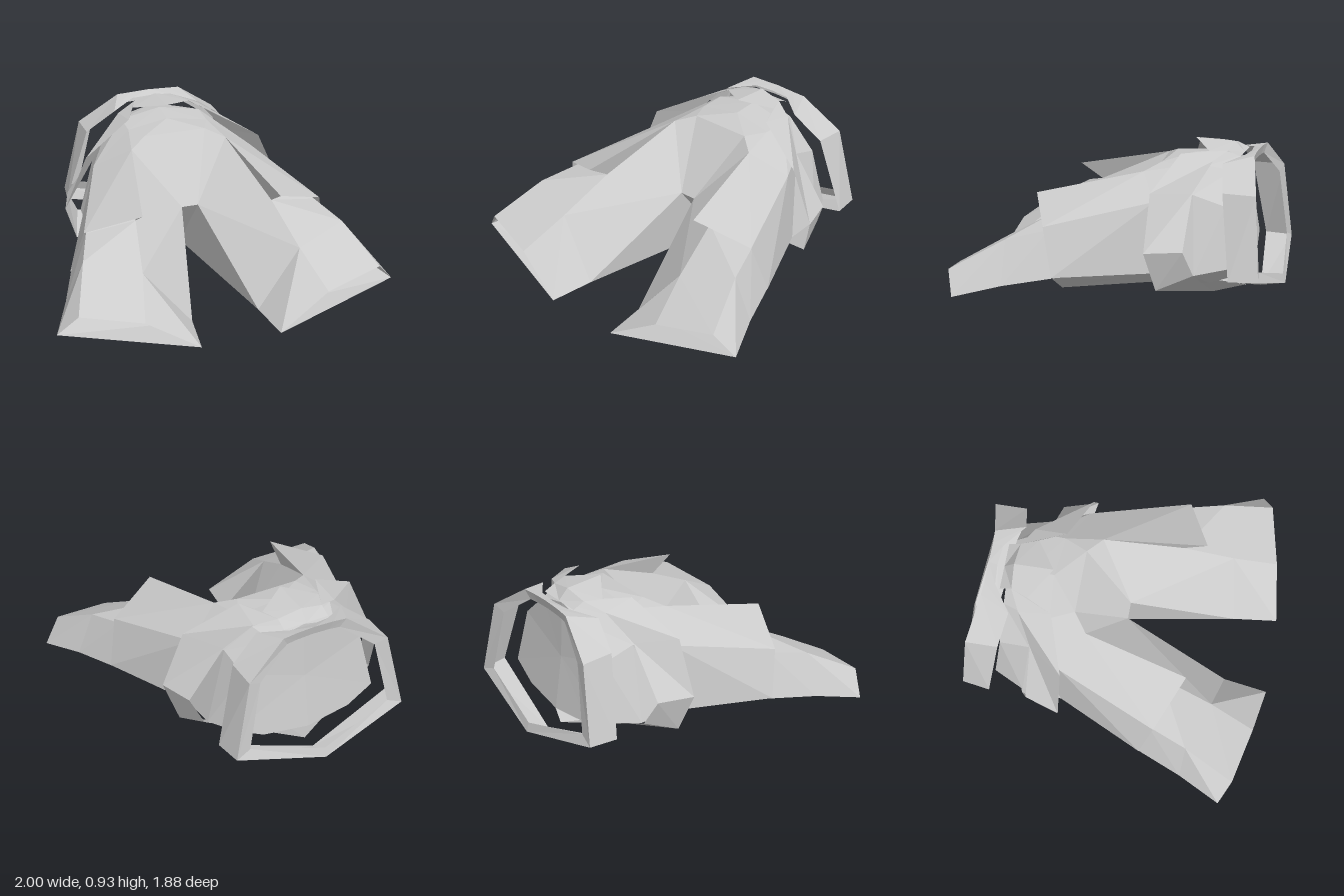
import * as THREE from 'three';

const material = new THREE.MeshStandardMaterial({ color: 0xcccccc, flatShading: true, side: THREE.DoubleSide });

// Faceted sheet from polygons on the +x half, mirrored to -x
function sheet(name, polygons) {
  const pos = [];
  const tri = (a, b, c) => pos.push(...a, ...b, ...c);
  const flip = ([x, y, z]) => [-x, y, z];
  for (const p of polygons) {
    for (let i = 1; i < p.length - 1; i++) {
      tri(p[0], p[i], p[i + 1]);
      tri(flip(p[0]), flip(p[i + 1]), flip(p[i]));
    }
  }
  const geo = new THREE.BufferGeometry();
  geo.setAttribute('position', new THREE.Float32BufferAttribute(pos, 3));
  geo.computeVertexNormals();
  const mesh = new THREE.Mesh(geo, material);
  mesh.name = name;
  return mesh;
}

// Quads joining a rear half-ring to a front half-ring
const loft = (rear, front) =>
  rear.slice(1).map((_, i) => [rear[i], front[i], front[i + 1], rear[i + 1]]);

export function createModel() {
  const group = new THREE.Group();
  group.name = 'garment';

  // Half-rings of the torso, top centre to bottom centre
  const rear = [[0, 0.84, -0.67], [0.2, 0.79, -0.66], [0.38, 0.62, -0.66], [0.45, 0.28, -0.7], [0.28, 0.2, -0.72], [0, 0.17, -0.74]];
  const waist = [[0, 0.86, -0.55], [0.25, 0.82, -0.53], [0.4, 0.68, -0.48], [0.53, 0.25, -0.52], [0.32, 0.15, -0.56], [0, 0.1, -0.58]];
  const hip = [[0, 0.845, -0.4], [0.25, 0.81, -0.38], [0.5, 0.65, -0.28], [0.55, 0.25, -0.28], [0.4, 0.16, -0.28], [0, 0.08, -0.24]];

  // Split between the legs
  const brow = [0.19, 0.815, -0.245], groin = [0.295, 0.775, -0.165];
  const crotch = [0.05, 0.455, 0.04], crotchLow = [0.03, 0.08, -0.24];
  const browMid = [0, 0.815, -0.245], crotchMid = [0, 0.455, 0.04];

  group.add(sheet('torso', [
    ...loft(rear, waist),
    ...loft(waist, hip),
    [hip[0], browMid, brow, hip[1]],
    [hip[1], brow, groin, hip[2]],
  ]));
  group.add(sheet('torsoEnd', [[[0, 0.5, -0.69], ...rear]]));
  group.add(sheet('crotchPanel', [
    [browMid, crotchMid, crotch, brow],
    [crotchMid, hip[5], crotchLow, crotch],
    [brow, crotch, groin],
  ]));

  // Leg tubes, open at the far ends
  const kneeIn = [0.415, 0.55, 0.3], shinIn = [0.47, 0.38, 0.61];
  const kneeOut = [0.7, 0.5, 0.27], shinOut = [0.78, 0.45, 0.5];
  const sideKnee = [0.775, 0.25, 0.2], sideShin = [0.885, 0.21, 0.49];
  const cuffTop = [0.89, 0.285, 0.8], cuffSide = [1, 0.16, 0.74];
  const cuffIn = [0.54, 0.225, 0.88], cuffTip = [0.235, 0.045, 0.935];
  const innerLow = [0.2, 0.055, 0.67];
  group.add(sheet('legs', [
    // top
    [groin, kneeIn, kneeOut, hip[2]],
    [kneeIn, shinIn, shinOut, kneeOut],
    [shinIn, cuffIn, cuffTop, shinOut],
    [shinIn, cuffTip, cuffIn],
    // outer side
    [hip[2], kneeOut, sideKnee, hip[3]],
    [kneeOut, shinOut, sideShin, sideKnee],
    [shinOut, cuffTop, cuffSide, sideShin],
    // inner side
    [groin, crotch, kneeIn],
    [kneeIn, crotch, shinIn],
    [crotch, innerLow, shinIn],
    [shinIn, innerLow, cuffTip],
    [crotch, crotchLow, innerLow],
    // underside
    [innerLow, crotchLow, hip[4], sideKnee],
    [hip[4], hip[3], sideKnee],
    [innerLow, sideKnee, sideShin],
    [innerLow, sideShin, cuffSide, cuffTip],
  ]));

  // Overlapping thigh covers with a pointed front edge
  const peak = [0.415, 0.64, 0.44], coverOut = [0.72, 0.52, 0.3];
  const coverSide = [0.79, 0.25, 0.23], coverLow = [0.6, 0.14, 0.23];
  group.add(sheet('thighCovers', [
    [groin, peak, coverOut, hip[2]],
    [hip[2], coverOut, coverSide, hip[3]],
    [hip[3], coverSide, coverLow, hip[4]],
    [groin, kneeIn, peak],
  ]));

  // Flared belt with a peaked, notched front edge
  const beltRear = [[0, 0.92, -0.63], [0.14, 0.89, -0.62], [0.26, 0.85, -0.56], [0.4, 0.69, -0.475], [0.62, 0.405, -0.475], [0.55, 0.255, -0.52], [0, 0.06, -0.71]];
  const beltFront = [[0, 0.93, -0.4], [0.18, 0.89, -0.52], [0.25, 0.88, -0.37], [0.55, 0.71, -0.27], [0.685, 0.4, -0.27], [0.61, 0.17, -0.32], [0, 0, -0.51]];
  group.add(sheet('flaredBelt', loft(beltRear, beltFront)));
  group.add(sheet('beltFlap', [[[0, 0.86, -0.69], beltRear[0], beltRear[1], [0.14, 0.86, -0.69]]]));

  // Back hoop: a wide band with an inward rim
  const hoopFront = [[0, 0.87, -0.73], [0.12, 0.87, -0.72], [0.27, 0.84, -0.615], [0.44, 0.71, -0.655], [0.565, 0.24, -0.72], [0, 0.065, -0.8]];
  const hoopRear = [[0, 0.89, -0.78], [0.12, 0.885, -0.78], [0.2, 0.88, -0.785], [0.44, 0.705, -0.845], [0.54, 0.24, -0.885], [0, 0.09, -0.945]];
  const rim = hoopRear.map(([x, y, z]) => [x * 0.83, 0.49 + (y - 0.49) * 0.86, z + 0.015]);
  group.add(sheet('backHoop', [...loft(hoopRear, hoopFront), ...loft(rim, hoopRear)]));

  return group;
}
